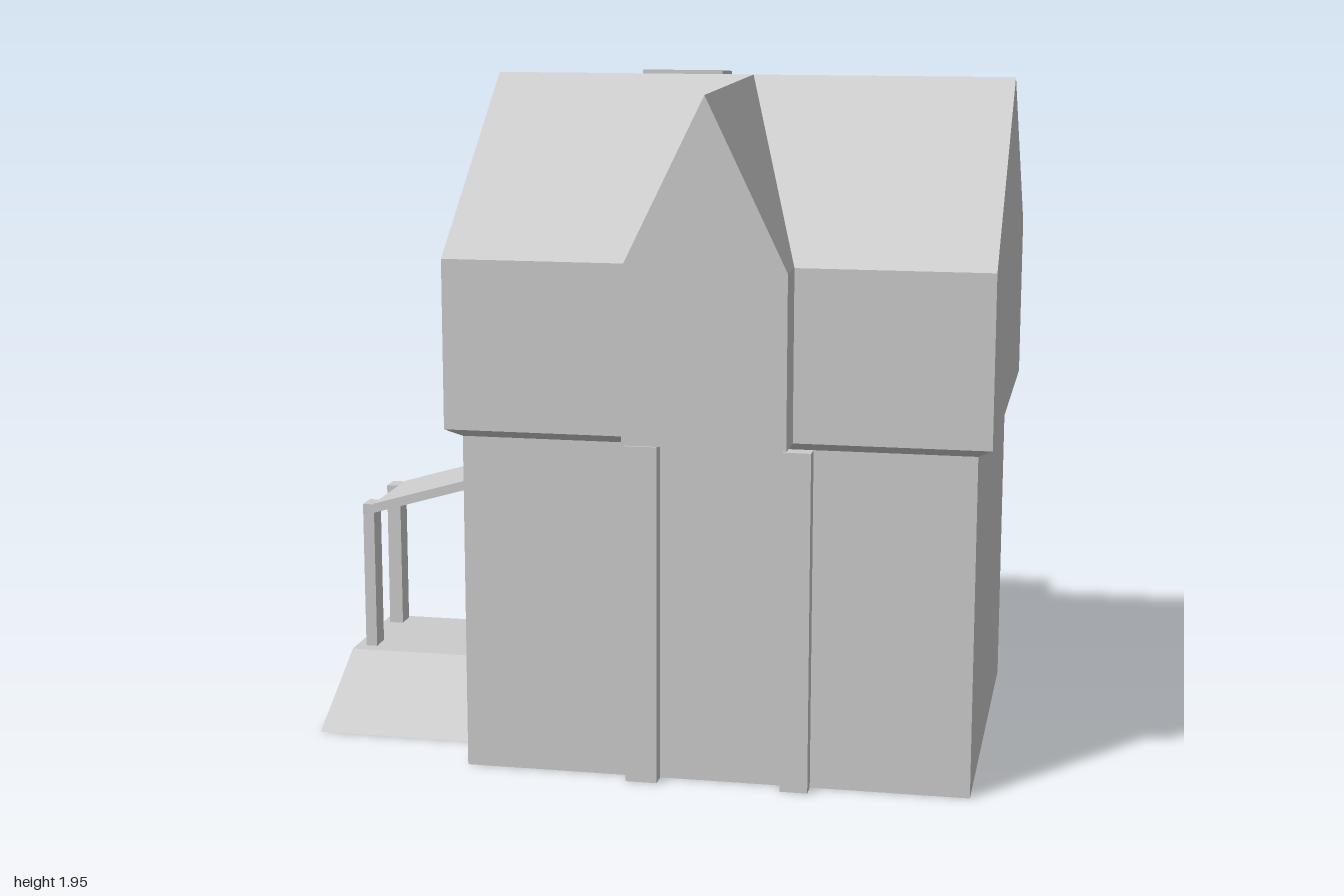
import * as THREE from 'three';

const material = new THREE.MeshStandardMaterial({ color: 0xcccccc, flatShading: true });

function add(parent, name, geometry) {
  const mesh = new THREE.Mesh(geometry, material);
  mesh.name = name;
  parent.add(mesh);
  return mesh;
}

// Box given by its limits on each axis
function box(x0, x1, y0, y1, z0, z1) {
  return new THREE.BoxGeometry(x1 - x0, y1 - y0, z1 - z0)
    .translate((x0 + x1) / 2, (y0 + y1) / 2, (z0 + z1) / 2);
}

// Flat polygons (corners counter-clockwise from outside), fanned into triangles
function polygons(faces) {
  const pos = [];
  for (const f of faces) {
    for (let i = 1; i < f.length - 1; i++) pos.push(...f[0], ...f[i], ...f[i + 1]);
  }
  const g = new THREE.BufferGeometry();
  g.setAttribute('position', new THREE.Float32BufferAttribute(pos, 3));
  g.computeVertexNormals();
  return g;
}

// Stack of rectangles [y, x0, x1, z0, z1], joined by walls and closed at both ends
function rectLoft(levels) {
  const rings = levels.map(([y, x0, x1, z0, z1]) =>
    [[x0, y, z1], [x1, y, z1], [x1, y, z0], [x0, y, z0]]);
  const faces = [[...rings[0]].reverse(), rings[rings.length - 1]];
  for (let k = 0; k < rings.length - 1; k++) {
    for (let i = 0; i < 4; i++) {
      const j = (i + 1) % 4;
      faces.push([rings[k][i], rings[k][j], rings[k + 1][j], rings[k + 1][i]]);
    }
  }
  return polygons(faces);
}

// Outline of [z, y] points extruded along x
function prismX(outline, x0, x1) {
  const shape = new THREE.Shape(outline.map(([z, y]) => new THREE.Vector2(-z, y)));
  return new THREE.ExtrudeGeometry(shape, { depth: x1 - x0, bevelEnabled: false })
    .rotateY(Math.PI / 2).translate(x0, 0, 0);
}

// Outline of [x, y] points extruded along z
function prismZ(outline, z0, z1) {
  const shape = new THREE.Shape(outline.map(([x, y]) => new THREE.Vector2(x, y)));
  return new THREE.ExtrudeGeometry(shape, { depth: z1 - z0, bevelEnabled: false })
    .translate(0, 0, z0);
}

export function createModel() {
  const house = new THREE.Group();
  house.name = 'house';

  // Ground floor, flaring out under the upper storey
  add(house, 'groundFloor', rectLoft([
    [0, -0.485, 0.955, -0.655, 0.545],
    [0.967, -0.485, 0.955, -0.655, 0.545],
    [0.99, -0.53, 0.995, -0.693, 0.577],
  ]));

  // Upper storey and gable roof
  add(house, 'upperStorey', prismX(
    [[0.577, 0.99], [-0.693, 0.99], [-0.693, 1.47], [-0.06, 1.95], [0.577, 1.47]], -0.53, 0.995));

  // Front dormer: its ridge runs back to the main ridge
  const L = 0.003, R = 0.455, F = 0.695, B = 0.57, low = 0.99, eave = 1.47;
  const peak = [0.23, 1.935, F], ridge = [0.236, 1.95, -0.06];
  add(house, 'dormer', polygons([
    [[L, low, F], [R, low, F], [R, eave, F], peak, [L, eave, F]],
    [[R, low, F], [R, low, B], [R, eave, B], [R, eave, F]],
    [[L, low, B], [L, low, F], [L, eave, F], [L, eave, B]],
    [[L, low, B], [R, low, B], [R, low, F], [L, low, F]],
    [[R, eave, F], [R, eave, B], ridge, peak],
    [[L, eave, B], [L, eave, F], peak, ridge],
  ]));

  // Pilasters below the dormer
  for (const [x0, x1] of [[-0.01, 0.08], [0.43, 0.508]]) {
    add(house, 'pilaster', box(x0, x1, 0, 0.967, 0.53, 0.595));
  }

  // Hollow chimney with a flared cap, its top leaning slightly backwards
  const chimney = add(house, 'chimney', rectLoft([
    [1.5, -0.145, 0.07, -0.535, -0.375],
    [1.893, -0.143, 0.067, -0.535, -0.39],
    [1.908, -0.162, 0.087, -0.548, -0.38],
    [1.94, -0.162, 0.087, -0.548, -0.38],
    [1.94, -0.135, 0.06, -0.53, -0.405],
    [1.8, -0.135, 0.06, -0.52, -0.405],
  ]));
  const p = chimney.geometry.attributes.position;
  for (let i = 0; i < p.count; i++) {
    if (p.getY(i) > 1.85) p.setY(i, p.getY(i) + 0.06 * (p.getZ(i) + 0.465));
  }
  chimney.geometry.computeVertexNormals();

  // Side porch
  const porch = new THREE.Group();
  porch.name = 'porch';
  house.add(porch);

  // Landing with a ramp towards the front
  add(porch, 'landingAndRamp', prismX(
    [[0.353, 0], [-0.345, 0], [-0.345, 0.168], [0.043, 0.168]], -1, -0.47));

  // Sloping porch roof
  add(porch, 'porchRoof', prismZ(
    [[-0.938, 0.595], [-0.48, 0.728], [-0.48, 0.757], [-0.938, 0.624]], -0.33, 0));

  // Porch posts
  add(porch, 'porchPost', box(-0.978, -0.935, 0.16, 0.622, -0.33, -0.265));
  add(porch, 'porchPost', box(-0.97, -0.935, 0.16, 0.622, -0.068, 0));

  // Door slab on the wall
  add(porch, 'door', box(-0.513, -0.48, 0.16, 0.6, -0.26, -0.05));

  return house;
}
